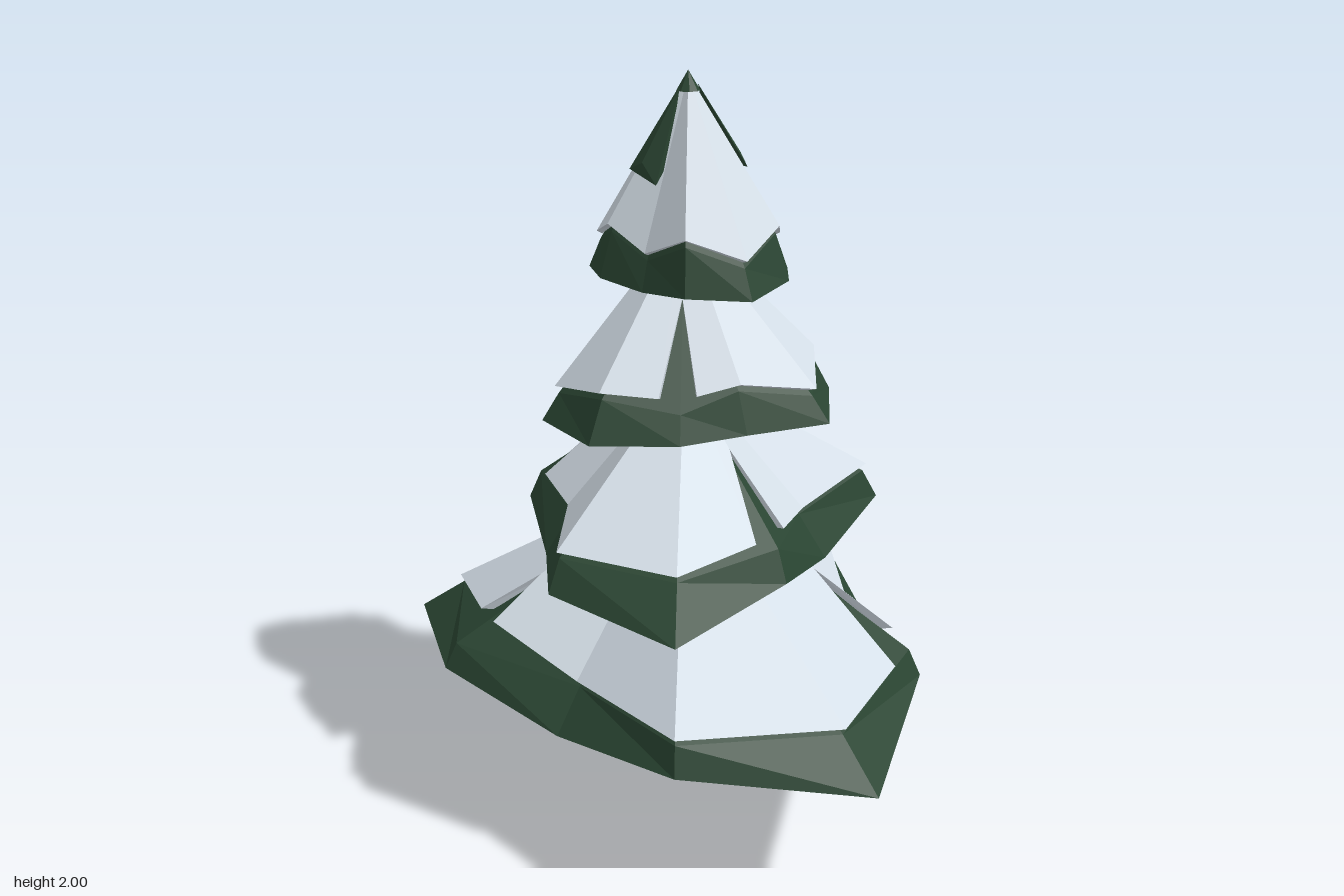
import * as THREE from 'three';
import { ConvexGeometry } from 'three/addons/geometries/ConvexGeometry.js';

const needle = new THREE.MeshStandardMaterial({ color: 0x2a4532 });
needle.name = 'needle green';
const snow = new THREE.MeshStandardMaterial({ color: 0xd3dde6 });
snow.name = 'snow white';
const bark = new THREE.MeshStandardMaterial({ color: 0x483322 });
bark.name = 'bark brown';

const SIDES = 10;
const V = (x, y, z) => new THREE.Vector3(x, y, z);

// Point at corner i of a tier; corner 0 faces the front and the order runs towards +x
function corner(i, r, y, cz) {
  const a = Math.PI / 2 - (i * Math.PI * 2) / SIDES;
  return V(Math.cos(a) * r, y, cz + Math.sin(a) * r);
}

// Closed loops: fan from a point, or band between an upper and a lower loop
function fan(tris, c, loop, flip = false) {
  loop.forEach((p, i) => {
    const q = loop[(i + 1) % loop.length];
    tris.push(...(flip ? [c, q, p] : [c, p, q]));
  });
}
function band(tris, up, low) {
  up.forEach((u, i) => {
    const j = (i + 1) % up.length;
    tris.push(u, low[i], low[j], u, low[j], up[j]);
  });
}

// Separate corners per face give faceted normals
function facetMesh(tris, material, name) {
  const g = new THREE.BufferGeometry().setFromPoints(tris);
  g.computeVertexNormals();
  const m = new THREE.Mesh(g, material);
  m.name = name;
  return m;
}

// r: corner radii; lowParity: which corners droop; wave: rise and fall of the snow rim
// notches: corner -> [width before, width after, tip position, pull towards the top]
const tiers = [
  { name: 'bottom', cz: 0.07, r: [0.54, 0.71, 0.845, 0.675, 0.565, 0.72, 0.85, 0.66, 0.845, 0.68],
    lowParity: 0, low: 0.365, high: 0.428, rim: 0.505, wave: 0.015, apex: 0.9, inLow: 0.83, inHigh: 0.95,
    notches: { 3: [0.28, 0.28, 0.57, 1], 7: [0.28, 0.28, 0.57, 0.9], 9: [0.15, 0.12, 0.62, 0.88] } },
  { name: 'lower', cz: 0.07, r: [0.55, 0.62, 0.46, 0.4, 0.565, 0.62, 0.465, 0.4, 0.47, 0.39],
    lowParity: 1, low: 0.735, high: 0.785, rim: 0.88, wave: 0.008, apex: 1.2, inLow: 0.81, inHigh: 0.92,
    notches: { 2: [0.22, 0.26, 0.48, 0.97], 6: [0.42, 0.24, 0.48, 0.96], 8: [0.26, 0.26, 0.48, 1] } },
  { name: 'upper', cz: 0.07, r: [0.385, 0.29, 0.285, 0.4, 0.41, 0.3, 0.32, 0.4, 0.285, 0.385],
    lowParity: 1, low: 1.122, high: 1.13, rim: 1.235, wave: 0.022, apex: 1.6, inLow: 0.88, inHigh: 0.86,
    notches: { 1: [0.28, 0.28, 0.42, 0.97], 5: [0.28, 0.28, 0.4, 0.95] } },
  { name: 'top', cz: 0.05, r: [0.19, 0.25, 0.28, 0.27, 0.27, 0.23, 0.29, 0.27, 0.28, 0.235],
    lowParity: 0, low: 1.475, high: 1.488, rim: 1.6, wave: 0.028, apex: 1.96, inLow: 0.88, inHigh: 0.86,
    notches: {} },
];

function buildTier(t) {
  const group = new THREE.Group();
  group.name = t.name + 'Tier';
  const isLow = (i) => i % 2 === t.lowParity;
  const inset = (i) => t.r[i] * (isLow(i) ? t.inLow : t.inHigh);
  const rimY = (i) => t.rim + (isLow(i) ? -t.wave : t.wave);
  const ids = t.r.map((_, i) => i);

  // Branches: rim, steep edge, then a cone
  const base = ids.map((i) => corner(i, t.r[i], isLow(i) ? t.low : t.high, t.cz));
  const mid = ids.map((i) => corner(i, inset(i), rimY(i) - 0.02, t.cz));
  const green = [];
  fan(green, V(0, t.apex, t.cz), mid);
  band(green, mid, base);
  fan(green, V(0, t.low + 0.03, t.cz), base, true);
  group.add(facetMesh(green, needle, t.name + 'Branches'));

  // Snow: slightly larger cone with V notches and a thin tucked-in lip
  const top = V(0, t.apex + 0.03, t.cz);
  const rim = ids.map((i) => corner(i, inset(i) + 0.01, rimY(i), t.cz));
  const loop = [];
  ids.forEach((i) => {
    if (!t.notches[i]) return loop.push(rim[i]);
    const [before, after, tip, pull] = t.notches[i];
    const side = (j, w) => top.clone().lerp(rim[i].clone().lerp(rim[(j + SIDES) % SIDES], w), pull);
    loop.push(side(i - 1, before), top.clone().lerp(rim[i], tip), side(i + 1, after));
  });
  const lip = loop.map((p) => V(p.x * 0.94, p.y - 0.006, t.cz + (p.z - t.cz) * 0.94));
  const white = [];
  fan(white, top, loop);
  band(white, loop, lip);
  group.add(facetMesh(white, snow, t.name + 'Snow'));
  return group;
}

export function createModel() {
  const tree = new THREE.Group();
  tree.name = 'snowyTree';

  // Six-sided trunk
  const trunkGeo = new THREE.CylinderGeometry(0.068, 0.083, 0.55, 6).toNonIndexed();
  trunkGeo.computeVertexNormals();
  const trunk = new THREE.Mesh(trunkGeo, bark);
  trunk.name = 'trunk';
  trunk.position.set(0, 0.275, 0.083);
  tree.add(trunk);

  tiers.forEach((t) => tree.add(buildTier(t)));

  // Green tip
  const tipGeo = new THREE.ConeGeometry(0.03, 0.05, 8).toNonIndexed();
  tipGeo.computeVertexNormals();
  const tip = new THREE.Mesh(tipGeo, needle);
  tip.name = 'treeTip';
  tip.position.set(0, 1.975, 0.05);
  tree.add(tip);

  // Small tufts poking through the top snow
  [[106, 1.74], [-54, 1.745], [198, 1.765]].forEach(([deg, y]) => {
    const at = (d, r, h) => {
      const a = THREE.MathUtils.degToRad(deg + d);
      return V(Math.cos(a) * r, h, 0.05 + Math.sin(a) * r);
    };
    const tuft = new THREE.Mesh(new ConvexGeometry([
      at(0, 0.025, 1.965), at(-22, 0.15, y), at(4, 0.135, y + 0.045), at(26, 0.15, y + 0.02), at(0, 0.06, y + 0.04),
    ]), needle);
    tuft.name = 'topTuft';
    tree.add(tuft);
  });

  return tree;
}
